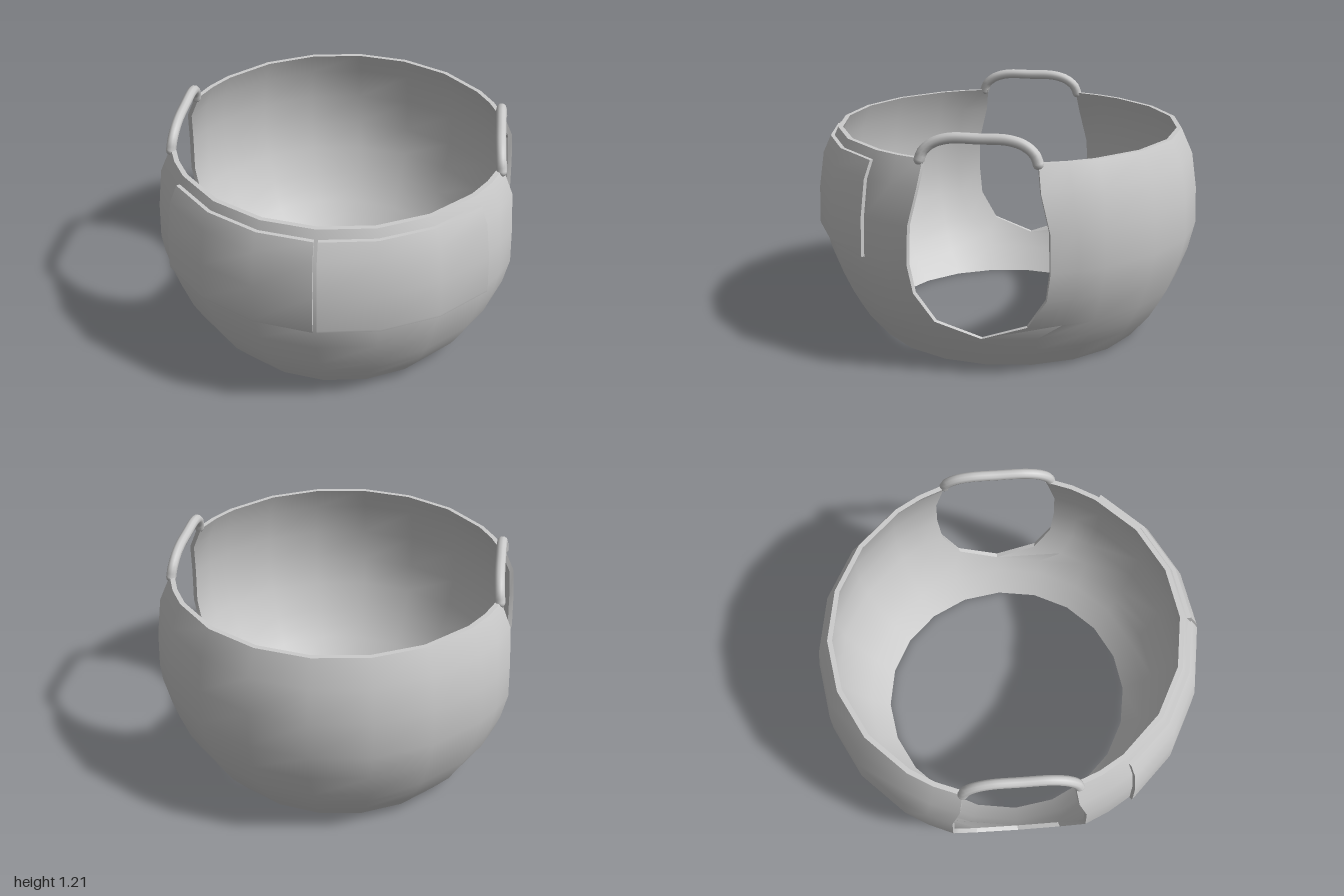
import * as THREE from 'three';
import { mergeGeometries, toCreasedNormals } from 'three/addons/utils/BufferGeometryUtils.js';

const DEG = Math.PI / 180;
const material = new THREE.MeshStandardMaterial({ color: 0xcccccc });

// Body rows: [height, radius, half width of the armhole]
const ROWS = [
  [0, 0.71, 0], [0.12, 0.81, 0], [0.2, 0.857, 0], [0.28, 0.9, 0.225], [0.43, 0.955, 0.32],
  [0.58, 0.99, 0.34], [0.77, 0.982, 0.335], [0.95, 0.955, 0.29], [1.08, 0.895, 0.27],
];

function radiusAt(y) {
  const k = Math.max(1, ROWS.findIndex((r) => r[0] >= y));
  const [a, b] = [ROWS[k - 1], ROWS[k]];
  return THREE.MathUtils.mapLinear(y, a[0], b[0], a[1], b[1]);
}

// Point on the slightly oval body; angle 0 faces the front
function onBody(angle, y, offset) {
  const r = radiusAt(y) + offset;
  return [Math.sin(angle) * r * 0.975, y, Math.cos(angle) * r - 0.01];
}

// Closed curved slab from a grid of points; side walls start at row wallFrom
function slab(nu, nv, point, wallFrom = 0) {
  const pos = [];
  const quad = (a, b, c, d) => pos.push(...a, ...b, ...c, ...a, ...c, ...d);
  const out = (i, j) => point(i, j, true);
  const inn = (i, j) => point(i, j, false);
  for (let i = 0; i < nu; i++) {
    for (let j = 0; j < nv; j++) {
      quad(out(i, j), out(i + 1, j), out(i + 1, j + 1), out(i, j + 1));
      quad(inn(i + 1, j), inn(i, j), inn(i, j + 1), inn(i + 1, j + 1));
    }
    quad(out(i, nv), out(i + 1, nv), inn(i + 1, nv), inn(i, nv));
    quad(inn(i, 0), inn(i + 1, 0), out(i + 1, 0), out(i, 0));
  }
  for (let j = wallFrom; j < nv; j++) {
    quad(out(nu, j), inn(nu, j), inn(nu, j + 1), out(nu, j + 1));
    quad(inn(0, j), out(0, j), out(0, j + 1), inn(0, j + 1));
  }
  const g = new THREE.BufferGeometry();
  g.setAttribute('position', new THREE.Float32BufferAttribute(pos, 3));
  return g;
}

// Front or back half of the body, its side edges following the armholes
function bodyHalf(turn) {
  return slab(10, ROWS.length - 1, (i, j, outer) => {
    const [y, r, gap] = ROWS[j];
    const edge = Math.acos(gap / r);
    const n = i - 5;
    const k = Math.abs(n);
    const a = k < 4 ? k * 18 * DEG : k === 4 ? (54 * DEG + edge) / 2 : edge;
    return onBody(Math.sign(n) * a + turn, y, outer ? 0 : -0.025);
  }, 2);
}

// Raised chest panel, on one side of the middle gap
function panel(side) {
  const angles = [0.6, 18, 36, 54].map((a) => a * side * DEG);
  if (side < 0) angles.reverse();
  const heights = [0.567, 0.58, 0.77, 0.95, 1.037];
  return slab(3, 4, (i, j, outer) => onBody(angles[i], heights[j], outer ? 0.02 : -0.01));
}

// Shoulder strap arching over an armhole
function strap(side) {
  const half = [[0.825, 1.075, 0.278], [0.82, 1.115, 0.262], [0.815, 1.155, 0.215], [0.812, 1.178, 0.14]];
  const points = [
    ...half.map(([x, y, z]) => new THREE.Vector3(x * side, y, z)),
    new THREE.Vector3(0.812 * side, 1.18, 0),
    ...half.slice().reverse().map(([x, y, z]) => new THREE.Vector3(x * side, y, -z)),
  ];
  const group = new THREE.Group();
  group.add(new THREE.Mesh(new THREE.TubeGeometry(new THREE.CatmullRomCurve3(points), 32, 0.026, 10), material));
  // Rounded ends
  for (const p of [points[0], points[points.length - 1]]) {
    const end = new THREE.Mesh(new THREE.SphereGeometry(0.026, 10, 8), material);
    end.name = 'strapEnd';
    end.position.copy(p);
    group.add(end);
  }
  group.children[0].name = 'strapTube';
  return group;
}

export function createModel() {
  const model = new THREE.Group();
  model.name = 'vest';

  const body = new THREE.Mesh(toCreasedNormals(mergeGeometries([bodyHalf(0), bodyHalf(Math.PI)]), 30 * DEG), material);
  body.name = 'body';
  model.add(body);

  for (const [label, side] of [['left', 1], ['right', -1]]) {
    const chest = new THREE.Mesh(toCreasedNormals(panel(side), 30 * DEG), material);
    chest.name = label + 'ChestPanel';
    const shoulder = strap(side);
    shoulder.name = label + 'ShoulderStrap';
    model.add(chest, shoulder);
  }
  return model;
}
